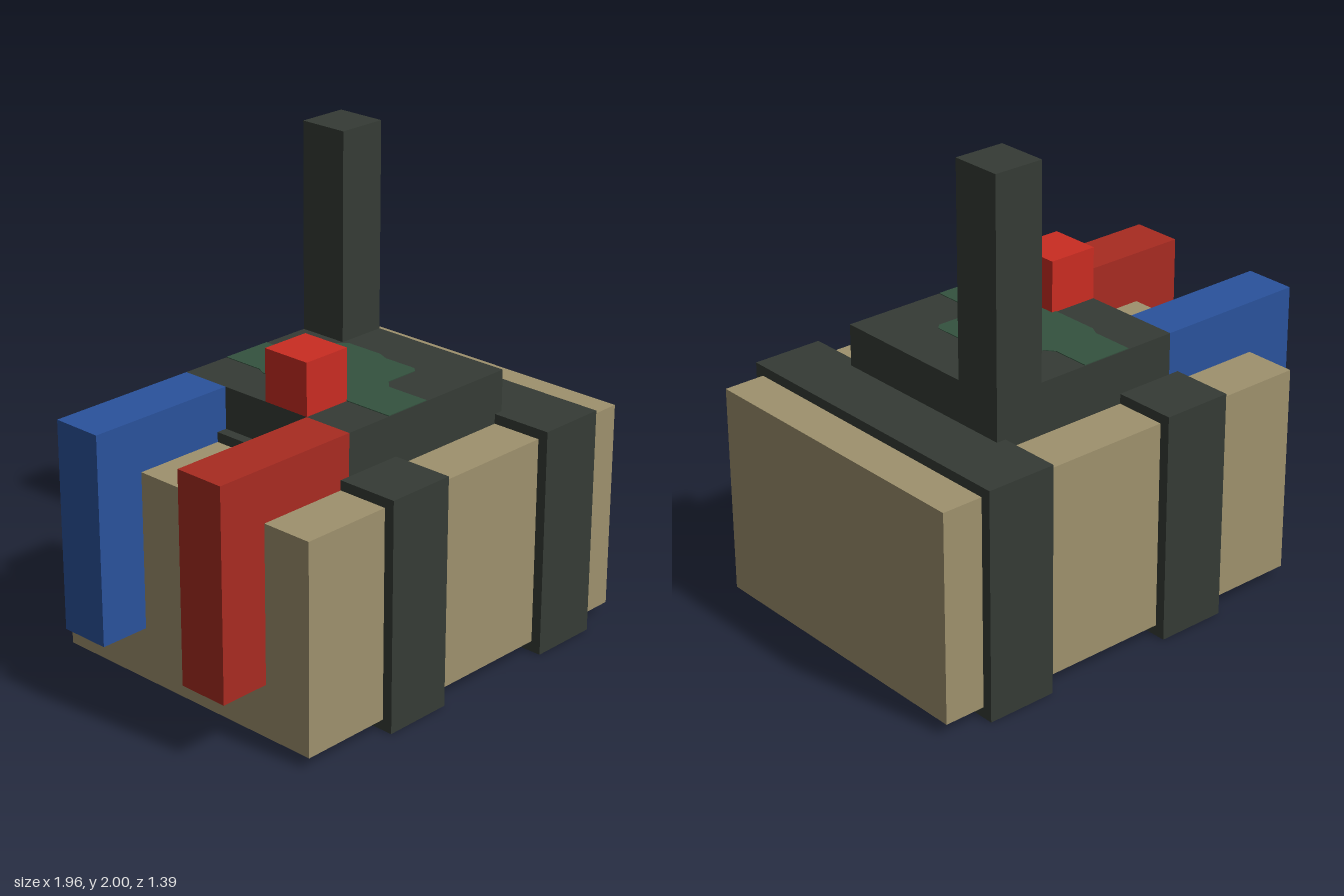
import * as THREE from 'three';

const mat = (name, color) => Object.assign(new THREE.MeshStandardMaterial({ color }), { name });

export function createModel() {
  const tan = mat('tan', 0x9e916d);
  const brown = mat('brown', 0x5e5242);
  const charcoal = mat('charcoal', 0x353b35);
  const green = mat('green', 0x34523f);
  const darkRed = mat('darkRed', 0xa82b21);
  const brightRed = mat('brightRed', 0xca2c22);
  const blue = mat('blue', 0x2a529c);
  const model = new THREE.Group();

  // Box given by its limits on each axis
  function box(name, material, [x0, x1], [y0, y1], [z0, z1], parent = model) {
    const mesh = new THREE.Mesh(new THREE.BoxGeometry(x1 - x0, y1 - y0, z1 - z0), material);
    mesh.position.set((x0 + x1) / 2, (y0 + y1) / 2, (z0 + z1) / 2);
    mesh.name = name;
    parent.add(mesh);
    return mesh;
  }

  // Thin painted plate from an outline of [x, z] points, its top at height y
  function patch(name, material, y, points) {
    const shape = new THREE.Shape(points.map(([x, z]) => new THREE.Vector2(x, z)));
    const geometry = new THREE.ExtrudeGeometry(shape, { depth: 0.004, bevelEnabled: false });
    geometry.rotateX(Math.PI / 2);
    const mesh = new THREE.Mesh(geometry, material);
    mesh.position.y = y;
    mesh.name = name;
    model.add(mesh);
  }

  // Main block with a brown underside
  box('body', [tan, tan, tan, brown, tan, tan], [-0.765, 0.975], [0.045, 0.917], [-0.652, 0.652]);

  // Straps wrapped around the block
  for (const x of [-0.37, 0.5]) box('strap', charcoal, [x, x + 0.3], [0, 0.958], [-0.695, 0.695]);

  // Control unit, antenna and button
  box('controlUnit', charcoal, [-0.325, 0.54], [0.917, 1.132], [-0.432, 0.432]);
  box('antenna', charcoal, [0.325, 0.54], [1.132, 2], [-0.432, -0.217]);
  box('button', brightRed, [-0.325, -0.11], [1.132, 1.348], [0, 0.216]);

  // Two bent wires running over the end of the block
  for (const [name, material, z] of [['redWire', darkRed, 0.216], ['blueWire', blue, -0.432]]) {
    const wire = new THREE.Group();
    wire.name = name;
    box(name + 'Top', material, [-0.98, -0.325], [0.917, 1.132], [z, z + 0.216], wire);
    box(name + 'Drop', material, [-0.98, -0.765], [0.265, 0.917], [z, z + 0.216], wire);
    model.add(wire);
  }

  // Green patch on the control unit
  patch('greenPatch', green, 1.135, [
    [-0.11, -0.43], [0.11, -0.43], [0.11, -0.27], [0.14, -0.23], [0.29, -0.23], [0.33, -0.19],
    [0.33, -0.02], [0.31, 0.03], [0.31, 0.18], [0.29, 0.2], [0.14, 0.2], [0.1, 0.24],
    [0.1, 0.43], [-0.11, 0.43], [-0.11, 0.21], [-0.13, 0.17], [-0.13, -0.21], [-0.11, -0.25]]);

  // Tan patches on the underside
  patch('undersidePatch', tan, 0.046, [
    [0.21, -0.57], [0.12, -0.64], [-0.07, -0.64], [-0.07, 0.22], [0.09, 0.22], [0.13, 0.17],
    [0.13, 0.03], [0.17, -0.01], [0.3, -0.01], [0.33, -0.05], [0.32, -0.16], [0.28, -0.19],
    [0.18, -0.2], [0.15, -0.25], [0.21, -0.32]]);
  for (const [x, z, a, b] of [[0.4, 0.11, 0.05, 0.05], [0.21, 0.32, 0.06, 0.08], [-0.48, -0.01, 0.07, 0.43]]) {
    patch('undersidePatch', tan, 0.046, [
      [x - a, z - b + 0.03], [x - a + 0.03, z - b], [x + a - 0.03, z - b], [x + a, z - b + 0.03],
      [x + a, z + b - 0.03], [x + a - 0.03, z + b], [x - a + 0.03, z + b], [x - a, z + b - 0.03]]);
  }
  return model;
}
